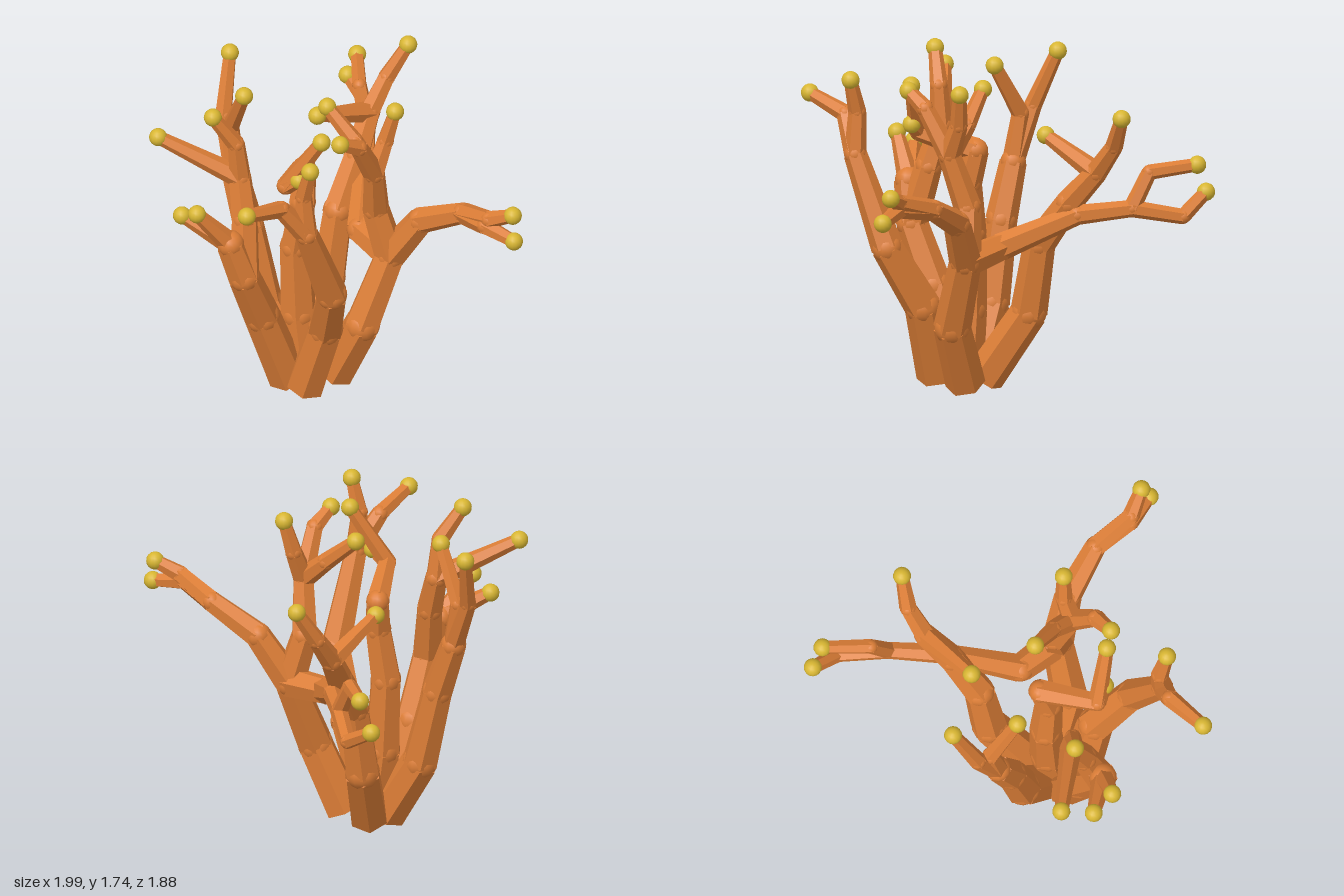
import * as THREE from 'three';

const bark = new THREE.MeshStandardMaterial({ color: 0xdb7d36 });
bark.name = 'copper bark';
const gold = new THREE.MeshStandardMaterial({ color: 0xd8b632 });
gold.name = 'gold bud';

const UP = new THREE.Vector3(0, 1, 0);
const TIP = 0.035;

// Limbs taper with the distance grown from the ground
const limbRadius = grown => Math.max(0.045, 0.104 - 0.066 * (grown / 1.75) ** 1.5);

function addBall(parent, name, position, radius, material) {
  const ball = new THREE.Mesh(new THREE.SphereGeometry(radius, 14, 10), material);
  ball.name = name;
  ball.position.copy(position);
  parent.add(ball);
}

// Six-sided segment with flat faces
function addSegment(parent, from, to) {
  const dir = to.position.clone().sub(from.position);
  const geometry = new THREE.CylinderGeometry(to.radius, from.radius, dir.length(), 6).toNonIndexed();
  geometry.computeVertexNormals();
  const segment = new THREE.Mesh(geometry, bark);
  segment.name = 'limbSegment';
  segment.position.copy(from.position).lerp(to.position, 0.5);
  segment.quaternion.setFromUnitVectors(UP, dir.normalize());
  parent.add(segment);
}

// Segments from a node through the points, each ending in a rounded joint; returns the end node
function chain(parent, name, from, points, radiusOf) {
  const group = new THREE.Group();
  group.name = name;
  parent.add(group);
  let node = from;
  points.forEach((point, i) => {
    const position = new THREE.Vector3(...point);
    const grown = node.grown + position.distanceTo(node.position);
    const next = { position, grown, radius: radiusOf(grown, (i + 1) / points.length) };
    addSegment(group, node, next);
    addBall(group, 'joint', position, next.radius * 0.95, bark);
    node = next;
  });
  return node;
}

function limb(parent, name, from, ...points) {
  return chain(parent, name, from, points, limbRadius);
}

// A twig narrows to a tip with a bud
function twig(parent, from, ...points) {
  const start = { ...from, radius: Math.min(from.radius, 0.058) };
  const end = chain(parent, 'twig', start, points,
    (grown, t) => THREE.MathUtils.lerp(start.radius, TIP, t));
  addBall(parent, 'bud', end.position, 0.047, gold);
}

// A stem starts on the ground
function stem(parent, name, base, ...points) {
  const root = { position: new THREE.Vector3(...base), grown: 0, radius: limbRadius(0) };
  return limb(parent, name, root, ...points);
}

function frontStem(g) {
  const top = stem(g, 'frontStem', [-0.07, 0.04, -0.14], [-0.05, 0.38, 0.02], [0.08, 0.77, 0.1]);
  const forward = limb(g, 'forwardBranch', top, [0.13, 1.02, 0.26], [0.145, 1.16, 0.52]);
  twig(g, forward, [0.08, 1.24, 0.74], [0.11, 1.3, 0.87]);
  twig(g, forward, [0.07, 1.2, 0.72], [0.08, 1.17, 0.9]);
  const upper = limb(g, 'upperBranch', top, [0.05, 1.04, 0.03], [-0.03, 1.32, 0.08]);
  twig(g, upper, [0.04, 1.49, 0.1], [0.07, 1.67, 0.14]);
  twig(g, upper, [-0.17, 1.55, 0.09], [-0.29, 1.62, 0.06]);
  twig(g, upper, [-0.01, 1.45, -0.06], [-0.02, 1.6, -0.23]);
  const spreading = limb(g, 'spreadingBranch', top,
    [0.14, 0.8, -0.14], [0.47, 0.97, -0.36], [0.7, 1, -0.52]);
  twig(g, spreading, [0.75, 1.18, -0.61], [0.94, 1.21, -0.77]);
  twig(g, spreading, [0.91, 0.95, -0.68], [0.95, 1.05, -0.84]);
}

function middleStem(g) {
  const top = stem(g, 'middleStem', [-0.16, 0.01, -0.26],
    [-0.16, 0.38, -0.31], [-0.16, 0.78, -0.33], [-0.15, 1.06, -0.29]);
  const cross = limb(g, 'crossBranch', top, [-0.11, 1.24, -0.31], [-0.4, 1.32, -0.21]);
  twig(g, cross, [-0.33, 1.62, -0.03]);
  twig(g, cross, [-0.39, 1.38, -0.13]);
}

function rightFrontStem(g) {
  const top = stem(g, 'rightFrontStem', [-0.27, 0.04, -0.18], [-0.27, 0.44, -0.05], [-0.4, 0.77, 0.09]);
  const branch = limb(g, 'rightBranch', top, [-0.6, 1.24, 0.08]);
  twig(g, branch, [-0.71, 1.42, 0], [-0.95, 1.485, -0.04]);
  twig(g, branch, [-0.6, 1.46, 0.06], [-0.61, 1.64, 0.11]);
}

function rightRearStem(g) {
  const top = stem(g, 'rightRearStem', [-0.26, 0.04, -0.3], [-0.4, 0.46, -0.36], [-0.54, 0.77, -0.37]);
  const low = limb(g, 'lowBranch', top, [-0.59, 0.98, -0.42]);
  twig(g, low, [-0.73, 1.19, -0.53]);
  twig(g, low, [-0.7, 1.12, -0.65]);
  const high = limb(g, 'highBranch', top, [-0.47, 1.07, -0.42], [-0.43, 1.28, -0.48]);
  twig(g, high, [-0.45, 1.49, -0.49], [-0.53, 1.66, -0.58]);
  twig(g, high, [-0.64, 1.49, -0.85]);
}

function rearStem(g) {
  const top = stem(g, 'rearStem', [-0.15, 0.03, -0.34],
    [-0.16, 0.36, -0.53], [-0.16, 0.78, -0.63], [-0.15, 1.07, -0.73]);
  twig(g, top, [-0.1, 1.35, -0.84], [0.02, 1.65, -0.89]);
  twig(g, top, [-0.13, 1.32, -0.77], [-0.2, 1.6, -0.63]);
}

function leftStem(g) {
  const top = stem(g, 'leftStem', [-0.05, 0.04, -0.29], [0.17, 0.4, -0.37], [0.24, 0.78, -0.36]);
  const steep = limb(g, 'steepBranch', top, [0.41, 1.02, -0.37], [0.56, 1.2, -0.4]);
  twig(g, steep, [0.68, 1.36, -0.38], [0.77, 1.54, -0.31]);
  twig(g, steep, [0.21, 1.33, -0.47]);
}

export function createModel() {
  const model = new THREE.Group();
  model.name = 'branchingShrub';
  const builders = [frontStem, middleStem, rightFrontStem, rightRearStem, rearStem, leftStem];
  for (const build of builders) {
    const group = new THREE.Group();
    group.name = build.name + 'Group';
    build(group);
    model.add(group);
  }
  return model;
}
